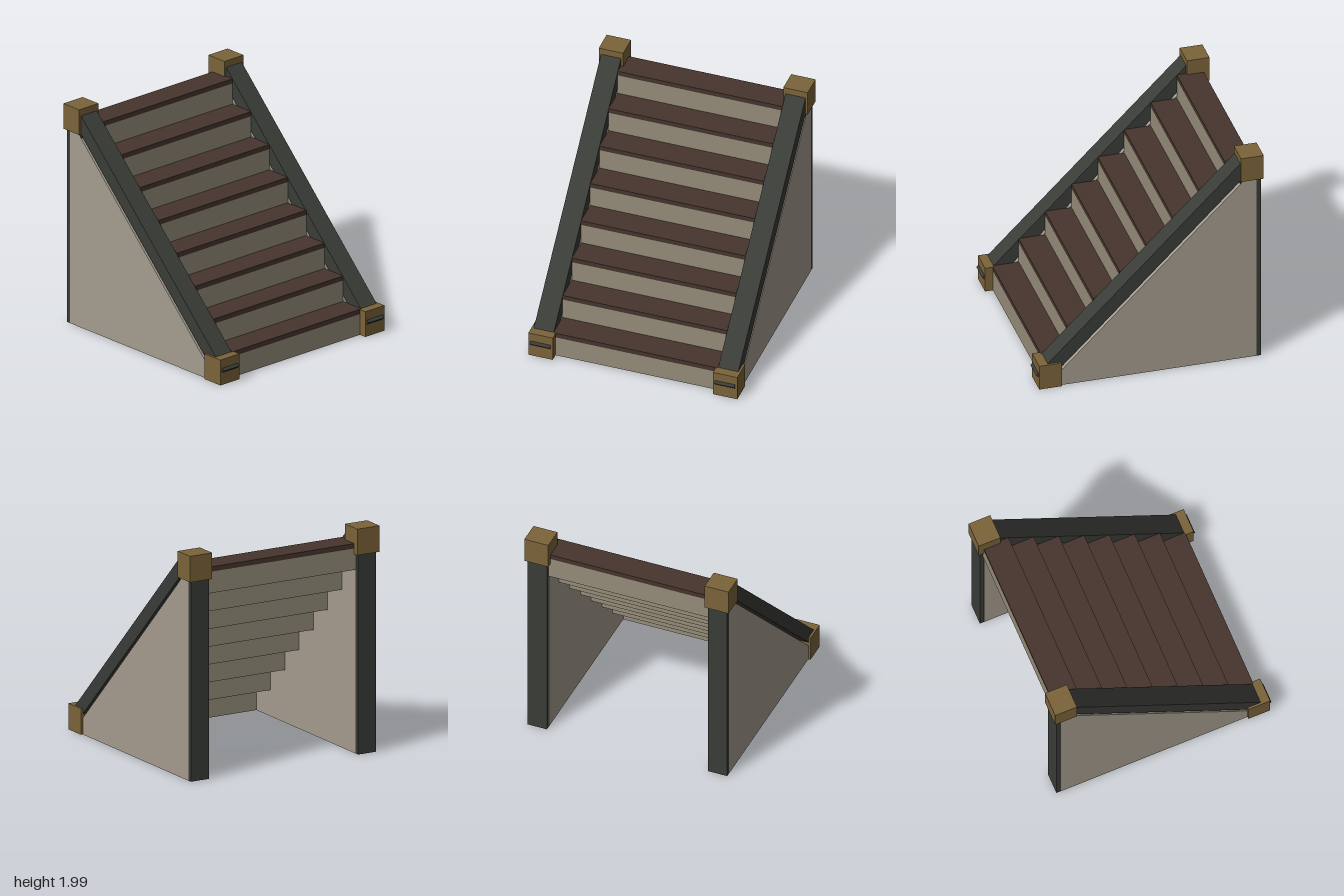
import * as THREE from 'three';

const mat = (color) => new THREE.MeshStandardMaterial({ color });

export function createModel() {
  const model = new THREE.Group();
  model.name = 'staircase';
  const treadMat = mat(0x46352d);
  const riserMat = mat(0x968d7a);
  const panelMat = mat(0xa59c8f);
  const frameMat = mat(0x3a3c38);
  const blockMat = mat(0x7c643a);

  const add = (name, geometry, material) => {
    const mesh = new THREE.Mesh(geometry, material);
    mesh.name = name;
    model.add(mesh);
    return mesh;
  };

  // Box given by its lower and upper limits on each axis
  const box = (name, material, [x0, x1], [y0, y1], [z0, z1]) => {
    const mesh = add(name, new THREE.BoxGeometry(x1 - x0, y1 - y0, z1 - z0), material);
    mesh.position.set((x0 + x1) / 2, (y0 + y1) / 2, (z0 + z1) / 2);
    return mesh;
  };

  // Steps: a solid riser block topped by a thin tread
  const count = 8, depth = 0.2325, rise = 0.2315, tread = 0.043, front = 0.91, half = 0.74;
  for (let i = 0; i < count; i++) {
    const z = [front - (i + 1) * depth, front - i * depth];
    const y0 = i * rise, y1 = y0 + rise;
    box('riser', riserMat, [-half, half], [y0, y1 - tread], z);
    box('tread', treadMat, [-half, half], [y1 - tread, y1], z);
  }

  // Triangular side wall, drawn in the z-y plane and extruded along x
  const wall = new THREE.Shape([
    new THREE.Vector2(0.925, 0),
    new THREE.Vector2(-0.94, 0),
    new THREE.Vector2(-0.94, 1.865),
  ]);
  const wallGeometry = new THREE.ExtrudeGeometry(wall, { depth: 0.18, bevelEnabled: false });
  wallGeometry.rotateY(-Math.PI / 2).translate(0.09, 0, 0);

  // Sloping rail: a flat beam at 45 degrees
  const railThick = 0.12, railLength = 1.855 * Math.SQRT2;
  const drop = railThick / 2 / Math.SQRT2;

  for (const side of [-1, 1]) {
    const x = side * 0.83;
    const span = (width) => [x - width / 2, x + width / 2];

    add('sideWall', wallGeometry, panelMat).position.x = x;

    const rail = add('rail', new THREE.BoxGeometry(0.18, railThick, railLength), frameMat);
    rail.rotation.x = Math.PI / 4;
    rail.position.set(x, 1.0575 - drop, 0.0725 - drop);

    box('backPost', frameMat, span(0.178), [0, 1.8], [-0.98, -0.8]);
    box('footBlock', blockMat, span(0.22), [0, 0.23], [0.78, 0.98]);
    box('topBlock', blockMat, span(0.22), [1.76, 1.99], [-1, -0.8]);
  }

  return model;
}
